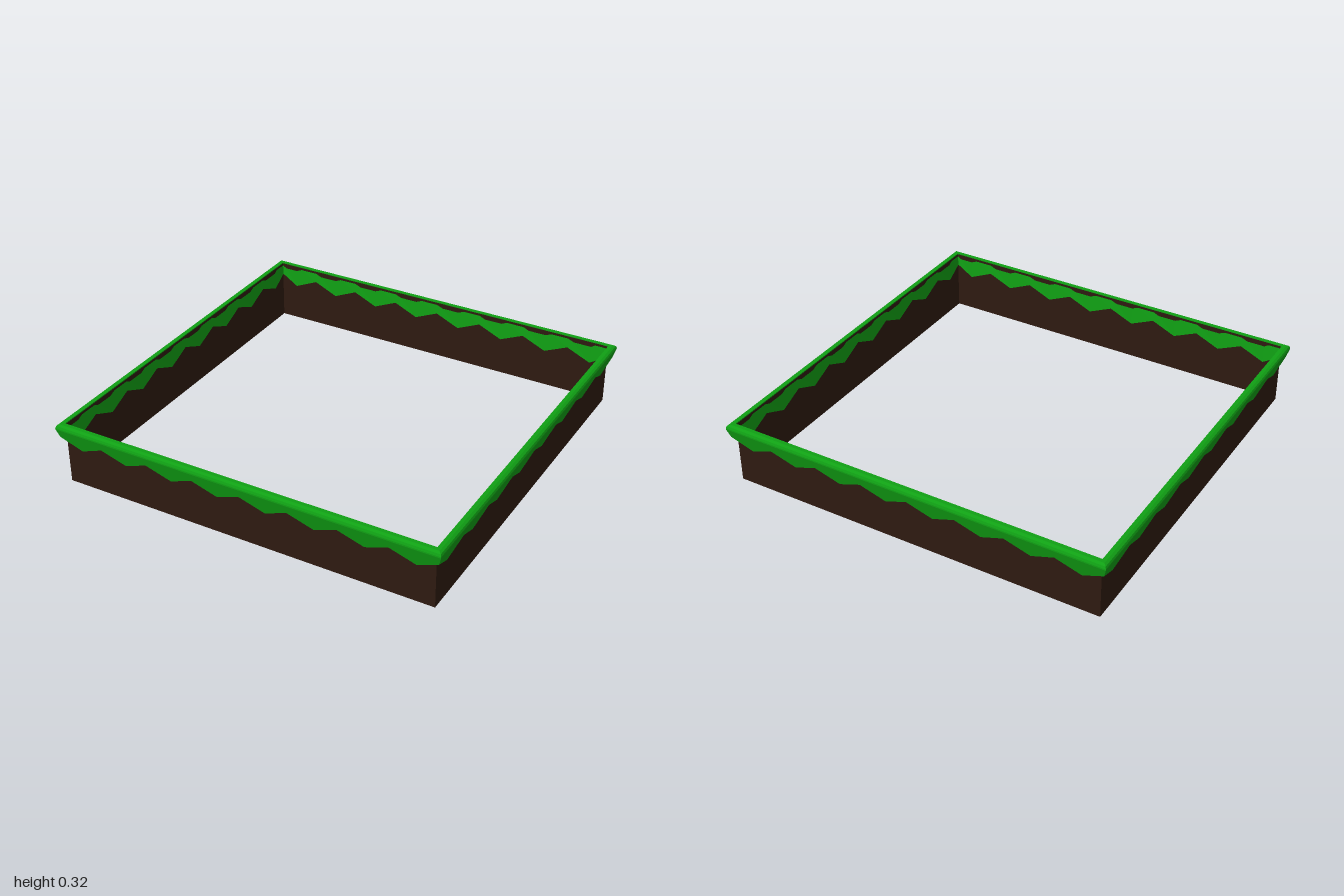
import * as THREE from 'three';

const WALL = 0.965, STEPS = 16;

// One side of the grass rim: cross-sections along x, mitred at both ends
function grassSide() {
  const pos = [], index = [], rows = 7;
  for (let i = 0; i <= STEPS; i++) {
    const t = -1 + (2 * i) / STEPS;
    const low = i % 2 ? 0.195 : 0.25; // zigzag hem
    const outer = 0.97 + (0.03 * (low - 0.195)) / 0.1;
    const profile = [
      [0.966, 0.32], [0.985, 0.32], [0.996, 0.313], [1, 0.302],
      [1, 0.295], [outer, low], [0.962, low + 0.003],
    ];
    for (const [d, y] of profile) {
      const end = i === 0 || i === STEPS;
      pos.push(end ? t * d : t, y, d);
    }
  }
  for (let i = 0; i < STEPS; i++) {
    for (let j = 0; j < rows; j++) {
      const k = (j + 1) % rows;
      const a = i * rows + j, b = i * rows + k;
      index.push(a, b, b + rows, a, b + rows, a + rows);
    }
  }
  const g = new THREE.BufferGeometry();
  g.setAttribute('position', new THREE.Float32BufferAttribute(pos, 3));
  g.setIndex(index);
  const flat = g.toNonIndexed();
  flat.computeVertexNormals();
  return flat;
}

export function createModel() {
  const group = new THREE.Group();
  const soil = new THREE.MeshStandardMaterial({ color: 0x2e1a10, side: THREE.DoubleSide });
  const grass = new THREE.MeshStandardMaterial({ color: 0x10a014, flatShading: true });

  const wallGeo = new THREE.PlaneGeometry(2 * WALL, 0.316);
  wallGeo.translate(0, 0.158, WALL);
  const grassGeo = grassSide();

  // Four matching sides around an open middle
  ['front', 'left', 'back', 'right'].forEach((name, i) => {
    const side = new THREE.Group();
    side.name = name + 'Side';
    const wall = new THREE.Mesh(wallGeo, soil);
    wall.name = name + 'SoilWall';
    const rim = new THREE.Mesh(grassGeo, grass);
    rim.name = name + 'GrassRim';
    side.add(wall, rim);
    side.rotation.y = (i * Math.PI) / 2;
    group.add(side);
  });
  return group;
}
